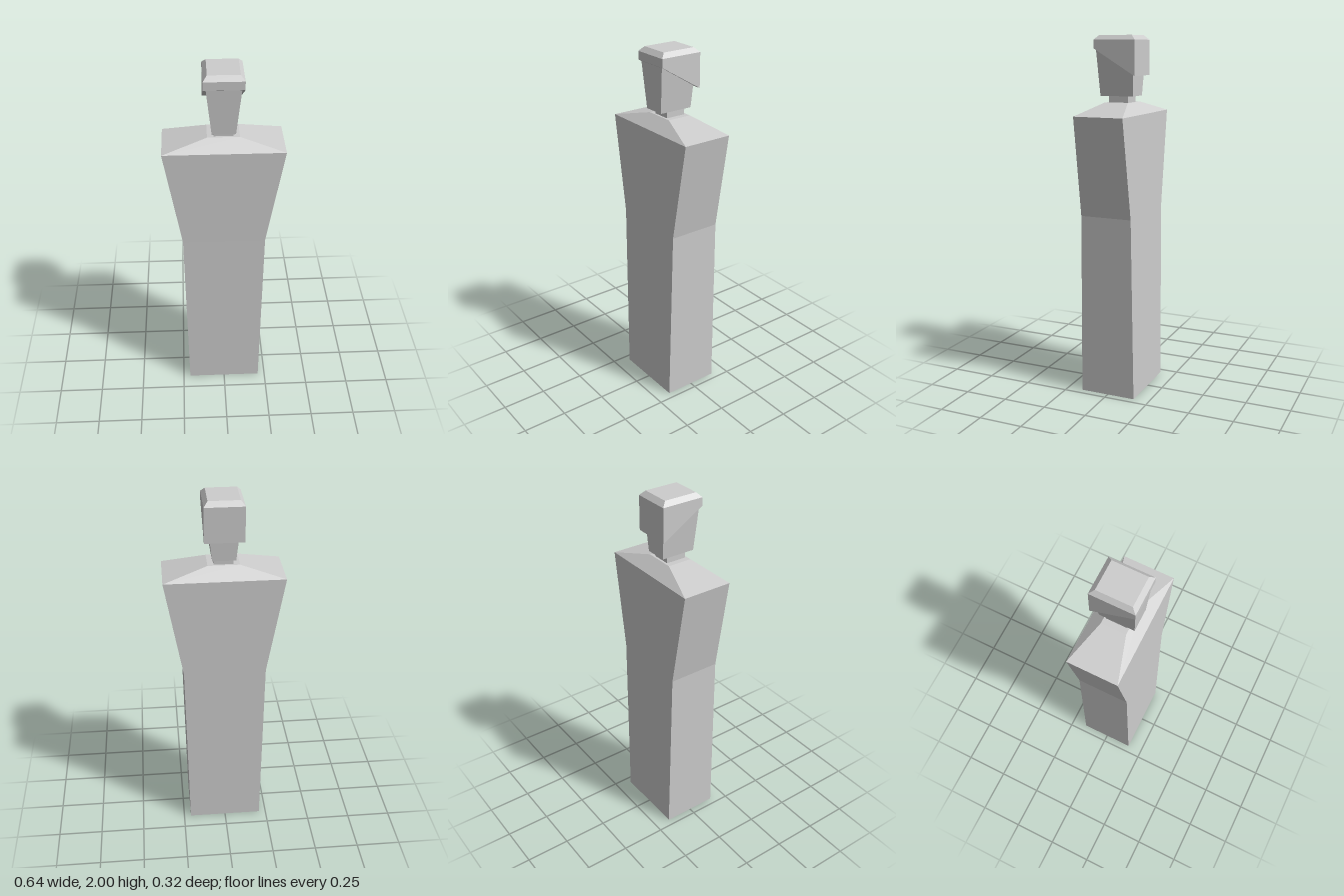
import * as THREE from 'three';

const grey = new THREE.MeshStandardMaterial({ color: 0xcccccc, side: THREE.DoubleSide, flatShading: true });
grey.name = 'plain grey';

// Four-sided loft; each ring is [half width, front z, back z, front y, back y]
function loft(name, rings, openBottom = false) {
  const corners = rings.map(([hx, zf, zb, yf, yb = yf]) => [
    [-hx, yf, zf], [hx, yf, zf], [hx, yb, zb], [-hx, yb, zb],
  ]);
  const pos = [];
  const quad = (a, b, c, d) => pos.push(...a, ...b, ...c, ...a, ...c, ...d);
  for (let r = 0; r < corners.length - 1; r++) {
    const lo = corners[r], hi = corners[r + 1];
    for (let i = 0; i < 4; i++) {
      const j = (i + 1) % 4;
      quad(lo[i], lo[j], hi[j], hi[i]);
    }
  }
  quad(...corners[corners.length - 1]);
  if (!openBottom) quad(...[...corners[0]].reverse());
  const geo = new THREE.BufferGeometry();
  geo.setAttribute('position', new THREE.Float32BufferAttribute(pos, 3));
  geo.computeVertexNormals();
  const mesh = new THREE.Mesh(geo, grey);
  mesh.name = name;
  return mesh;
}

export function createModel() {
  const group = new THREE.Group();
  group.name = 'figure';
  group.add(
    // Hollow robe, waist, wide shoulders and sloping collar
    loft('body', [
      [0.21, 0.16, -0.16, 0],
      [0.226, 0.147, -0.147, 1.03],
      [0.322, 0.141, -0.141, 1.58],
      [0.085, 0.07, -0.068, 1.64],
    ], true),
    loft('neck', [
      [0.052, 0.058, -0.056, 1.63],
      [0.052, 0.058, -0.056, 1.69],
    ]),
    // Face tapering to the chin
    loft('head', [
      [0.062, 0.104, -0.09, 1.675],
      [0.092, 0.118, -0.102, 1.945],
    ]),
    // Hair cap with a slanted lower edge and bevelled crown
    loft('hair', [
      [0.105, 0.125, -0.116, 1.93, 1.785],
      [0.105, 0.125, -0.116, 1.975],
      [0.083, 0.1, -0.09, 2.0],
    ]),
  );
  return group;
}
